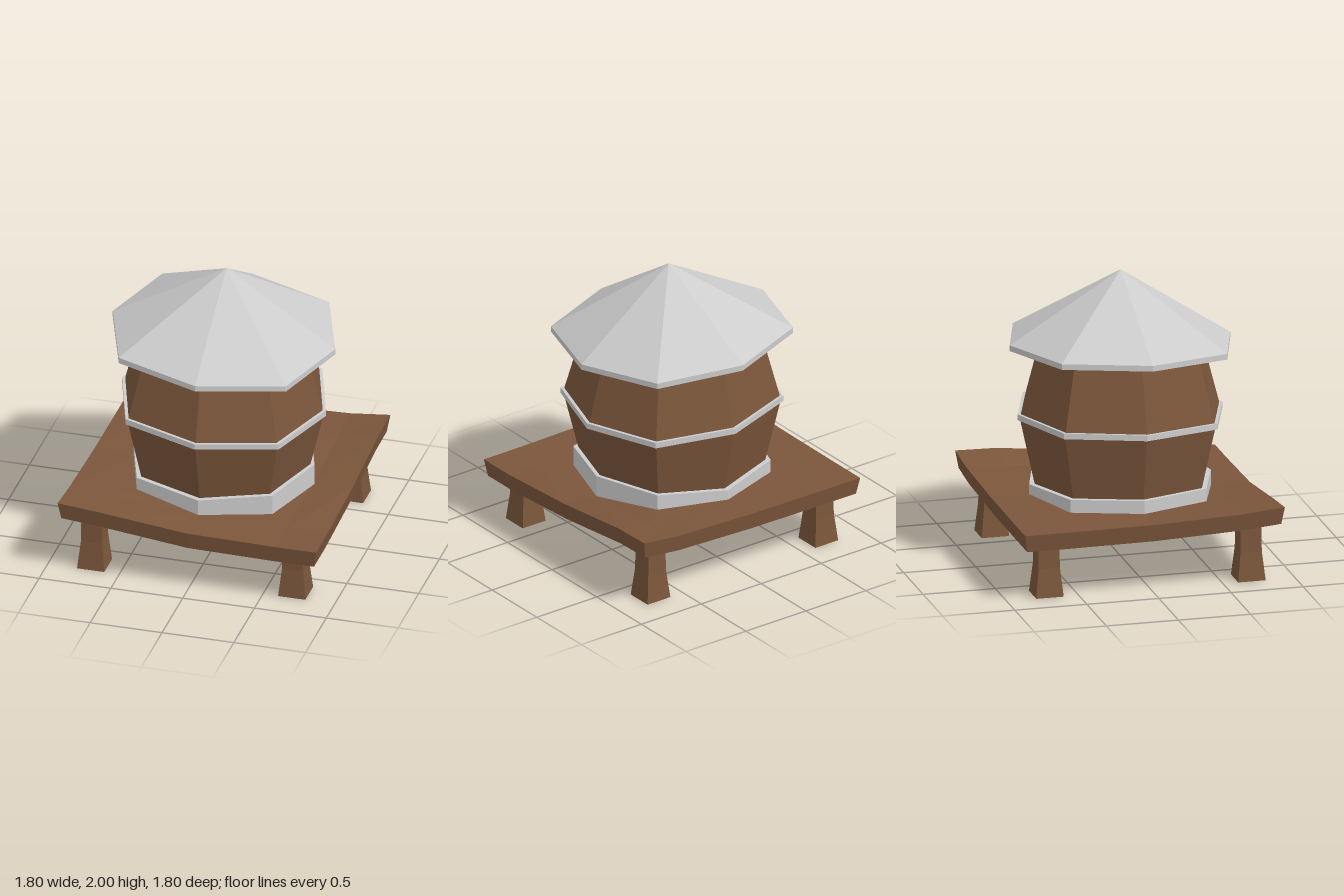
import * as THREE from 'three';

const wood = new THREE.MeshStandardMaterial({ color: 0x7b563b, flatShading: true });
const metal = new THREE.MeshStandardMaterial({ color: 0xcccccc, flatShading: true });

// Octagonal ring; corners on the diagonals sit slightly further out
function ring(r, height, turn = 0, cx = 0, cz = 0) {
  return Array.from({ length: 8 }, (_, i) => {
    const a = i * Math.PI / 4 + turn;
    const R = r * (i % 2 ? 1.06 : 1);
    const x = cx + R * Math.cos(a), z = cz + R * Math.sin(a);
    return new THREE.Vector3(x, height(x, z, i), z);
  });
}

// Skin a stack of rings, dropping collapsed triangles at the tips
function loft(name, rings, material) {
  const points = [];
  const tri = (a, b, c) => {
    if (a.distanceTo(b) > 1e-5 && b.distanceTo(c) > 1e-5 && c.distanceTo(a) > 1e-5) points.push(a, b, c);
  };
  for (let k = 0; k + 1 < rings.length; k++) {
    for (let i = 0; i < 8; i++) {
      const j = (i + 1) % 8, lo = rings[k], up = rings[k + 1];
      tri(lo[i], up[i], lo[j]);
      tri(lo[j], up[i], up[j]);
    }
  }
  const geometry = new THREE.BufferGeometry().setFromPoints(points);
  geometry.computeVertexNormals();
  const mesh = new THREE.Mesh(geometry, material);
  mesh.name = name;
  return mesh;
}

// Warped square platform: heights run back to front, each row from -x to +x
function platform() {
  const heights = [
    [0.48, 0.48, 0.485, 0.505, 0.535],
    [0.48, 0.48, 0.48, 0.49, 0.53],
    [0.485, 0.48, 0.46, 0.44, 0.465],
    [0.51, 0.49, 0.44, 0.43, 0.43],
    [0.535, 0.51, 0.44, 0.43, 0.43],
  ];
  const stops = [-0.9, -0.62, 0, 0.62, 0.9];
  const geometry = new THREE.BoxGeometry(4, 1, 4, 4, 1, 4);
  const p = geometry.attributes.position;
  for (let i = 0; i < p.count; i++) {
    const col = Math.round(p.getX(i) + 2), row = Math.round(p.getZ(i) + 2);
    const top = p.getY(i) > 0, inset = top ? 1 : 0.978;
    p.setXYZ(i, stops[col] * inset, heights[row][col] - (top ? 0 : 0.12), stops[row] * inset);
  }
  geometry.computeVertexNormals();
  const mesh = new THREE.Mesh(geometry, wood);
  mesh.name = 'platform';
  return mesh;
}

// Square leg that flares towards the foot
function leg(x, z) {
  const geometry = new THREE.BoxGeometry(1, 0.4, 1, 1, 2, 1);
  geometry.translate(0, 0.2, 0);
  const p = geometry.attributes.position;
  for (let i = 0; i < p.count; i++) {
    const y = p.getY(i);
    const w = y < 0.1 ? 0.19 : y < 0.3 ? 0.148 : 0.142;
    p.setX(i, p.getX(i) * w);
    p.setZ(i, p.getZ(i) * w);
  }
  geometry.computeVertexNormals();
  const mesh = new THREE.Mesh(geometry, wood);
  mesh.name = 'leg';
  mesh.position.set(x, 0, z);
  return mesh;
}

export function createModel() {
  const model = new THREE.Group();
  model.name = 'waterTower';

  model.add(platform());
  for (const x of [-0.7, 0.7]) for (const z of [-0.7, 0.7]) model.add(leg(x, z));

  // Bulging barrel
  const tilt = (y) => (x, z) => y - 0.03 * x - 0.018 * z;
  const roofPlane = (y) => (x, z) => y - 0.052 * x - 0.026 * z;
  const level = (y) => () => y;
  model.add(loft('barrel', [
    ring(0, level(0.45)), ring(0.57, level(0.45)), ring(0.695, tilt(1.005)),
    ring(0.57, roofPlane(1.485)), ring(0, level(1.485)),
  ], wood));

  // Hoop round the widest part
  model.add(loft('middleHoop', [
    ring(0.67, tilt(0.993)), ring(0.71, tilt(0.993)), ring(0.71, tilt(1.033)), ring(0.67, tilt(1.033)),
  ], metal));

  // Uneven hoop at the foot, sunk into the platform
  const tops = [0.59, 0.575, 0.55, 0.57, 0.57, 0.57, 0.55, 0.59];
  const rim = (x, z, i) => tops[i];
  model.add(loft('baseHoop', [
    ring(0.56, level(0.425)), ring(0.63, level(0.425)), ring(0.63, rim), ring(0.57, rim),
  ], metal));

  // Tilted conical roof with a thin edge
  const turn = -0.025;
  model.add(loft('roof', [
    ring(0, level(1.48)), ring(0.77, roofPlane(1.48), turn), ring(0.77, roofPlane(1.52), turn),
    ring(0, level(2), 0, 0.02, 0.01),
  ], metal));

  return model;
}
